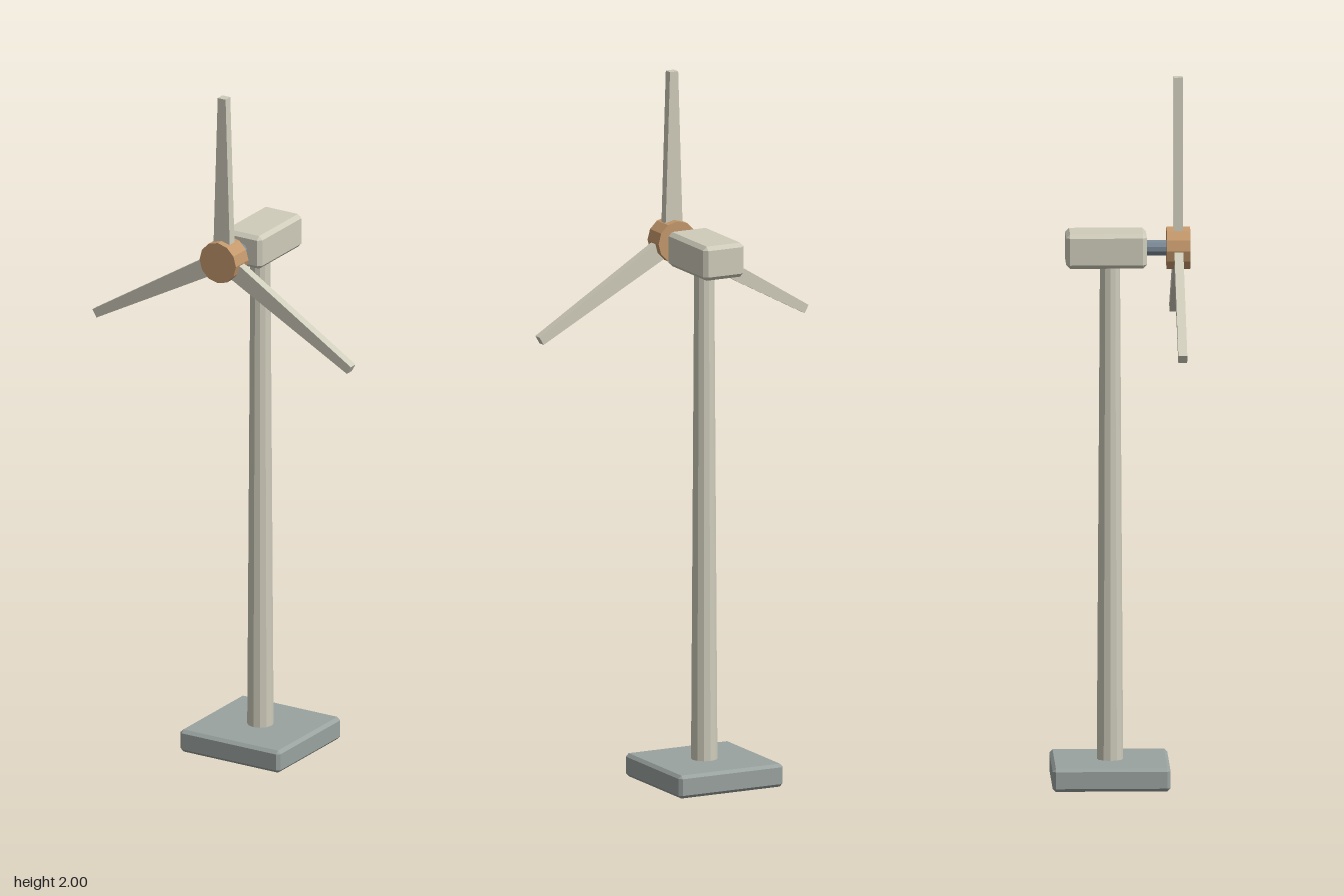
import * as THREE from 'three';
import { ConvexGeometry } from 'three/addons/geometries/ConvexGeometry.js';

const material = (color) => new THREE.MeshStandardMaterial({ color, flatShading: true });

// Box with every edge cut by a single chamfer c
function chamferedBox(w, h, d, c) {
  const half = [w / 2, h / 2, d / 2];
  const points = [];
  for (const sx of [-1, 1]) for (const sy of [-1, 1]) for (const sz of [-1, 1]) {
    for (let axis = 0; axis < 3; axis++) {
      const [x, y, z] = half.map((v, i) => (i === axis ? v : v - c));
      points.push(new THREE.Vector3(sx * x, sy * y, sz * z));
    }
  }
  return new ConvexGeometry(points);
}

// Straight bar along +y from the origin, narrowing in x towards its tip
function bladeGeometry(length, rootWidth, tipWidth, thickness) {
  const geometry = new THREE.BoxGeometry(1, length, thickness).translate(0, length / 2, 0);
  const p = geometry.attributes.position;
  for (let i = 0; i < p.count; i++) {
    p.setX(i, p.getX(i) * (p.getY(i) > length / 2 ? tipWidth : rootWidth));
  }
  geometry.computeVertexNormals();
  return geometry;
}

export function createModel() {
  const group = new THREE.Group();
  const cream = material(0xcfccbb);
  const stone = material(0x9aa3a0);
  const copper = material(0xc4986c);
  const steel = material(0x7b8a96);

  const add = (name, geometry, mat, x, y, z, parent = group) => {
    const mesh = new THREE.Mesh(geometry, mat);
    mesh.name = name;
    mesh.position.set(x, y, z);
    parent.add(mesh);
    return mesh;
  };

  const towerZ = -0.031;
  const axisY = 1.515;

  // Foundation and tapered tower
  add('base', chamferedBox(0.33, 0.066, 0.33, 0.009), stone, 0, 0.033, towerZ);
  add('tower', new THREE.CylinderGeometry(0.028, 0.037, 1.43, 12), cream, 0, 0.06 + 0.715, towerZ);

  // Nacelle with the drive shaft coming out of its front
  add('nacelle', chamferedBox(0.128, 0.098, 0.226, 0.011), cream, 0, axisY, -0.042);
  const shaft = new THREE.CylinderGeometry(0.022, 0.022, 0.08, 10).rotateX(Math.PI / 2);
  add('shaft', shaft, steel, 0, axisY, 0.095);

  // Rotor: hub and three blades
  const rotor = new THREE.Group();
  rotor.name = 'rotor';
  rotor.position.set(0, axisY, 0.16);
  group.add(rotor);
  add('hub', new THREE.CylinderGeometry(0.06, 0.06, 0.066, 12).rotateX(Math.PI / 2), copper, 0, 0, 0, rotor);

  const rootRadius = 0.04;
  const blade = bladeGeometry(0.485 - rootRadius, 0.054, 0.026, 0.025).translate(0, rootRadius, 0);
  for (let i = 0; i < 3; i++) {
    add('blade' + (i + 1), blade, cream, 0, 0, 0, rotor).rotation.z = (i * 2 * Math.PI) / 3;
  }

  return group;
}
